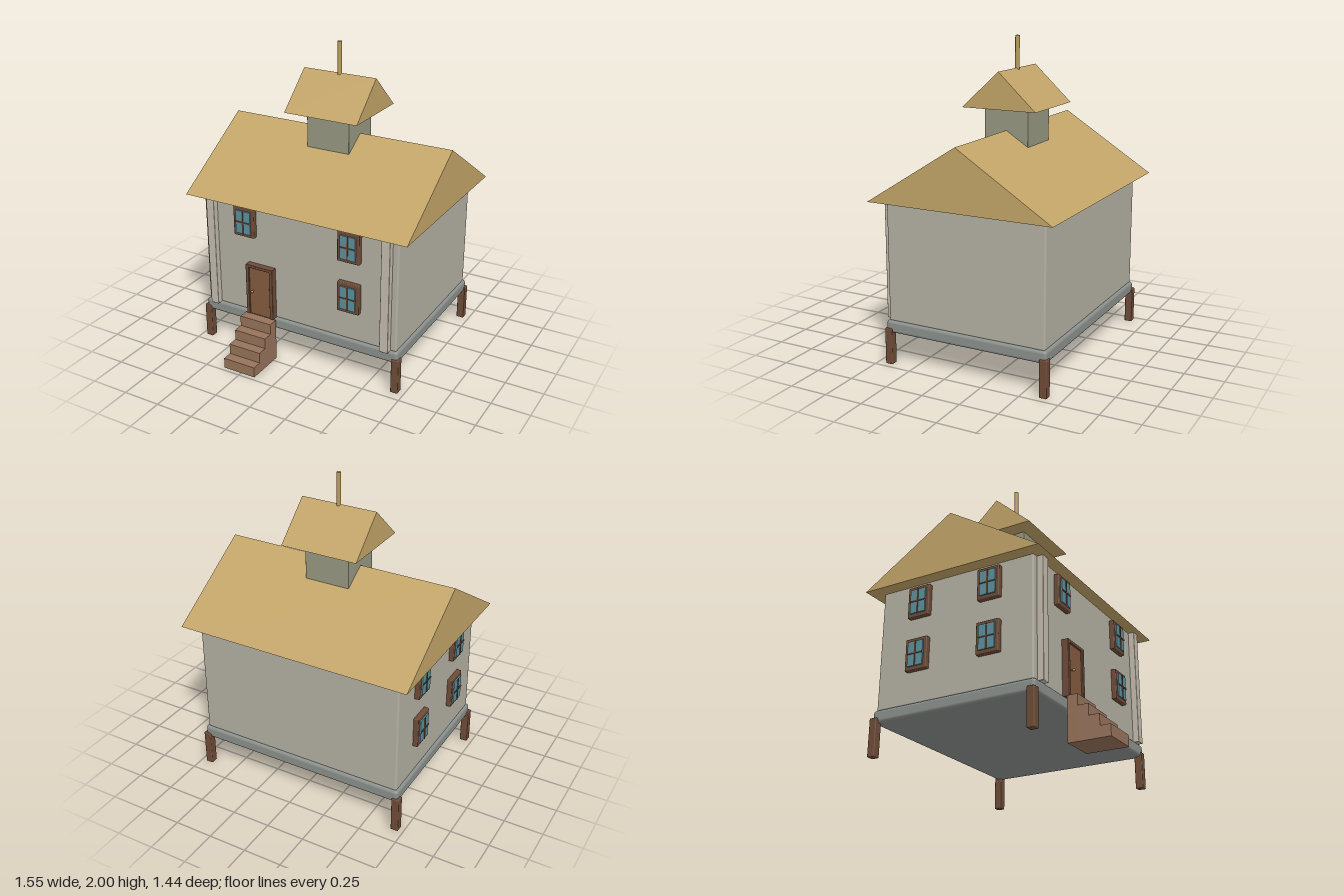
import * as THREE from 'three';
import { RoundedBoxGeometry } from 'three/addons/geometries/RoundedBoxGeometry.js';

const paint = (color) => new THREE.MeshStandardMaterial({ color });
const MAT = {
  wall: paint(0xb3afa2), pilaster: paint(0xc4bbae), base: paint(0x8b908c),
  wood: paint(0x6e4b37), step: paint(0x96725a), door: paint(0x835b3e),
  glass: paint(0x5b8f9b), roof: paint(0xc2a468), cupola: paint(0x969880), brass: paint(0xb89c58),
};
const RIDGE_Z = -0.105, FRONT_Z = 0.425, SIDE_X = -0.69;

function add(parent, name, geometry, material, x = 0, y = 0, z = 0) {
  const mesh = new THREE.Mesh(geometry, material);
  mesh.name = name;
  mesh.position.set(x, y, z);
  parent.add(mesh);
  return mesh;
}

// Box given by its extents on each axis, with optional rounded edges
function block(parent, name, material, [x0, x1], [y0, y1], [z0, z1], radius = 0) {
  const size = [x1 - x0, y1 - y0, z1 - z0];
  const geometry = radius
    ? new RoundedBoxGeometry(...size, 3, radius)
    : new THREE.BoxGeometry(...size);
  return add(parent, name, geometry, material, (x0 + x1) / 2, (y0 + y1) / 2, (z0 + z1) / 2);
}

// Solid triangular roof with its ridge along x
function gable(parent, name, halfLength, halfDepth, eaveY, ridgeY) {
  const shape = new THREE.Shape();
  shape.moveTo(-halfDepth, 0);
  shape.lineTo(halfDepth, 0);
  shape.lineTo(0, ridgeY - eaveY);
  shape.closePath();
  const geometry = new THREE.ExtrudeGeometry(shape, { depth: halfLength * 2, bevelEnabled: false });
  geometry.translate(0, 0, -halfLength).rotateY(Math.PI / 2);
  return add(parent, name, geometry, MAT.roof, 0, eaveY, RIDGE_Z);
}

// Window facing +z, with its back on z = 0
function makeWindow(name) {
  const win = new THREE.Group();
  win.name = name;
  block(win, 'windowFrame', MAT.wood, [-0.075, 0.075], [-0.1, 0.1], [-0.01, 0.031], 0.006);
  block(win, 'windowGlass', MAT.glass, [-0.053, 0.053], [-0.077, 0.077], [0, 0.04]);
  block(win, 'windowBarVertical', MAT.wood, [-0.004, 0.004], [-0.077, 0.077], [0, 0.045]);
  block(win, 'windowBarHorizontal', MAT.wood, [-0.053, 0.053], [-0.004, 0.004], [0, 0.045]);
  return win;
}

export function createModel() {
  const house = new THREE.Group();
  house.name = 'stiltHouse';

  // Platform on four posts
  block(house, 'platform', MAT.base, [-0.705, 0.705], [0.205, 0.285], [-0.65, 0.44], 0.02);
  for (const x of [-0.695, 0.69]) {
    for (const z of [-0.635, 0.42]) {
      block(house, 'post', MAT.wood, [x - 0.025, x + 0.025], [0, 0.235], [z - 0.025, z + 0.025], 0.006);
    }
  }

  // Walls and the two front pilasters
  block(house, 'walls', MAT.wall, [SIDE_X, -SIDE_X], [0.28, 1.05], [-0.635, FRONT_Z], 0.012);
  for (const x of [-0.622, 0.622]) {
    block(house, 'pilaster', MAT.pilaster, [x - 0.029, x + 0.029], [0.28, 1.047], [0.4, 0.465], 0.004);
  }

  // Roof, cupola and mast
  gable(house, 'mainRoof', 0.775, 0.61, 1.045, 1.43);
  block(house, 'cupola', MAT.cupola, [-0.15, 0.15], [1.3, 1.575], [-0.255, 0.045], 0.005);
  gable(house, 'cupolaRoof', 0.255, 0.25, 1.57, 1.8);
  add(house, 'mast', new THREE.CylinderGeometry(0.014, 0.014, 0.21, 16), MAT.brass, 0, 1.895, RIDGE_Z);

  // Door with its surround and knob
  const door = new THREE.Group();
  door.name = 'frontDoor';
  house.add(door);
  block(door, 'doorJamb', MAT.wood, [-0.365, -0.342], [0.28, 0.635], [0.41, 0.468], 0.004);
  block(door, 'doorJamb', MAT.wood, [-0.19, -0.165], [0.28, 0.635], [0.41, 0.468], 0.004);
  block(door, 'doorLintel', MAT.wood, [-0.36, -0.17], [0.615, 0.635], [0.41, 0.468], 0.004);
  block(door, 'doorPanel', MAT.door, [-0.345, -0.188], [0.28, 0.618], [0.41, 0.457]);
  add(door, 'doorKnob', new THREE.SphereGeometry(0.009, 16, 12), MAT.brass, -0.315, 0.452, 0.476);
  add(door, 'knobStem', new THREE.CylinderGeometry(0.004, 0.004, 0.03, 10).rotateX(Math.PI / 2),
    MAT.brass, -0.315, 0.452, 0.462);

  // Solid steps, falling toward the front
  for (let i = 0; i < 4; i++) {
    const z = 0.46 + i * 0.066;
    block(house, 'step', MAT.step, [-0.378, -0.15], [0, 0.28 - i * 0.07], [z, z + 0.066]);
  }

  // Front windows
  for (const [x, y] of [[-0.375, 0.92], [0.37, 0.92], [0.37, 0.58]]) {
    const win = makeWindow('frontWindow');
    win.position.set(x, y, FRONT_Z);
    house.add(win);
  }

  // Windows on the right wall
  for (const z of [-0.35, 0.14]) {
    for (const y of [0.58, 0.92]) {
      const win = makeWindow('sideWindow');
      win.position.set(SIDE_X, y, z);
      win.rotation.y = -Math.PI / 2;
      house.add(win);
    }
  }

  return house;
}
